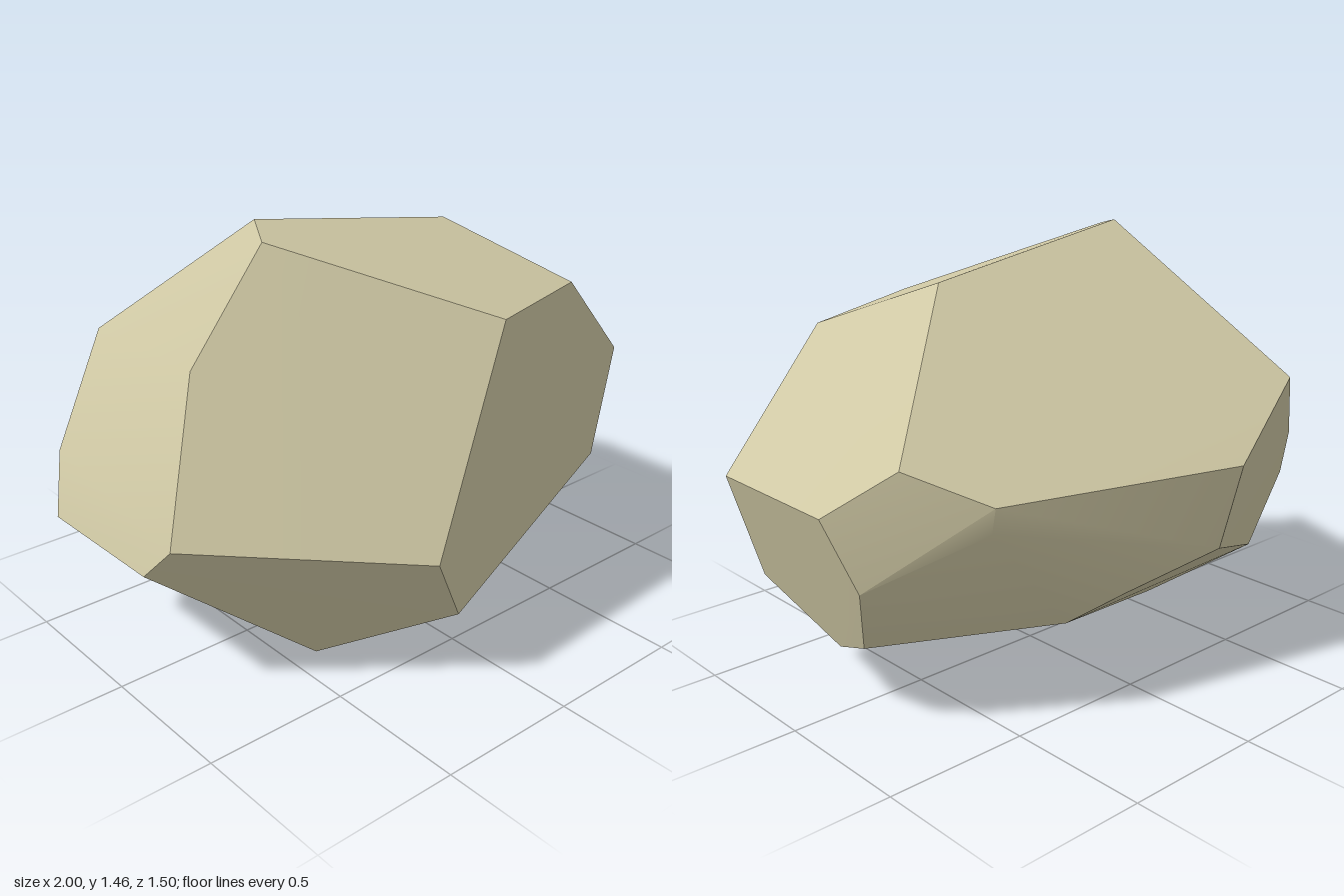
import * as THREE from 'three';
import { ConvexGeometry } from 'three/addons/geometries/ConvexGeometry.js';
import { toCreasedNormals } from 'three/addons/utils/BufferGeometryUtils.js';

// Corners of the faceted boulder, grouped by region
const corners = [
  // crown
  [-0.45, 1.46, 0.05], [-0.52, 1.43, 0.18], [0.03, 1.19, 0.65], [0.53, 1.16, 0.48], [0.34, 1.33, 0.06],
  // front face
  [1, 0.765, 0.32], [0.865, 0.38, 0.355], [-0.18, 0.27, 0.7], [-0.32, 0.52, 0.75],
  // +x end
  [1, 0.765, -0.2], [0.916, 0.525, -0.265], [0.832, 0.285, -0.155], [0.815, 0.23, 0], [0.83, 0.91, -0.36],
  // back
  [0.63, 0.8, -0.545], [0.632, 0.715, -0.53], [-0.23, 0.785, -0.75], [-0.64, 0.975, -0.61],
  [-0.19, 0.5, -0.7], [0.13, 0.41, -0.6], [0.27, 0.3, -0.466],
  // -x end
  [-0.785, 1.09, 0.17], [-0.965, 0.605, 0.29], [-1, 0.495, 0.19],
  [-1, 0.485, -0.33], [-0.93, 0.675, -0.41], [-0.74, 0.275, -0.397],
  // underside
  [-0.48, 0.08, -0.14], [-0.39, 0, 0.13], [-0.46, 0.065, 0.33],
];

export function createModel() {
  const group = new THREE.Group();
  group.name = 'boulder';

  const stone = new THREE.MeshStandardMaterial({ color: 0xcfc8a4 });
  stone.name = 'sandstone';

  // Hull of the corners; shallow edges blend, steeper ones stay sharp
  const hull = new ConvexGeometry(corners.map((c) => new THREE.Vector3(...c)));
  const rock = new THREE.Mesh(toCreasedNormals(hull, 0.5), stone);
  rock.name = 'rock';
  group.add(rock);
  return group;
}
